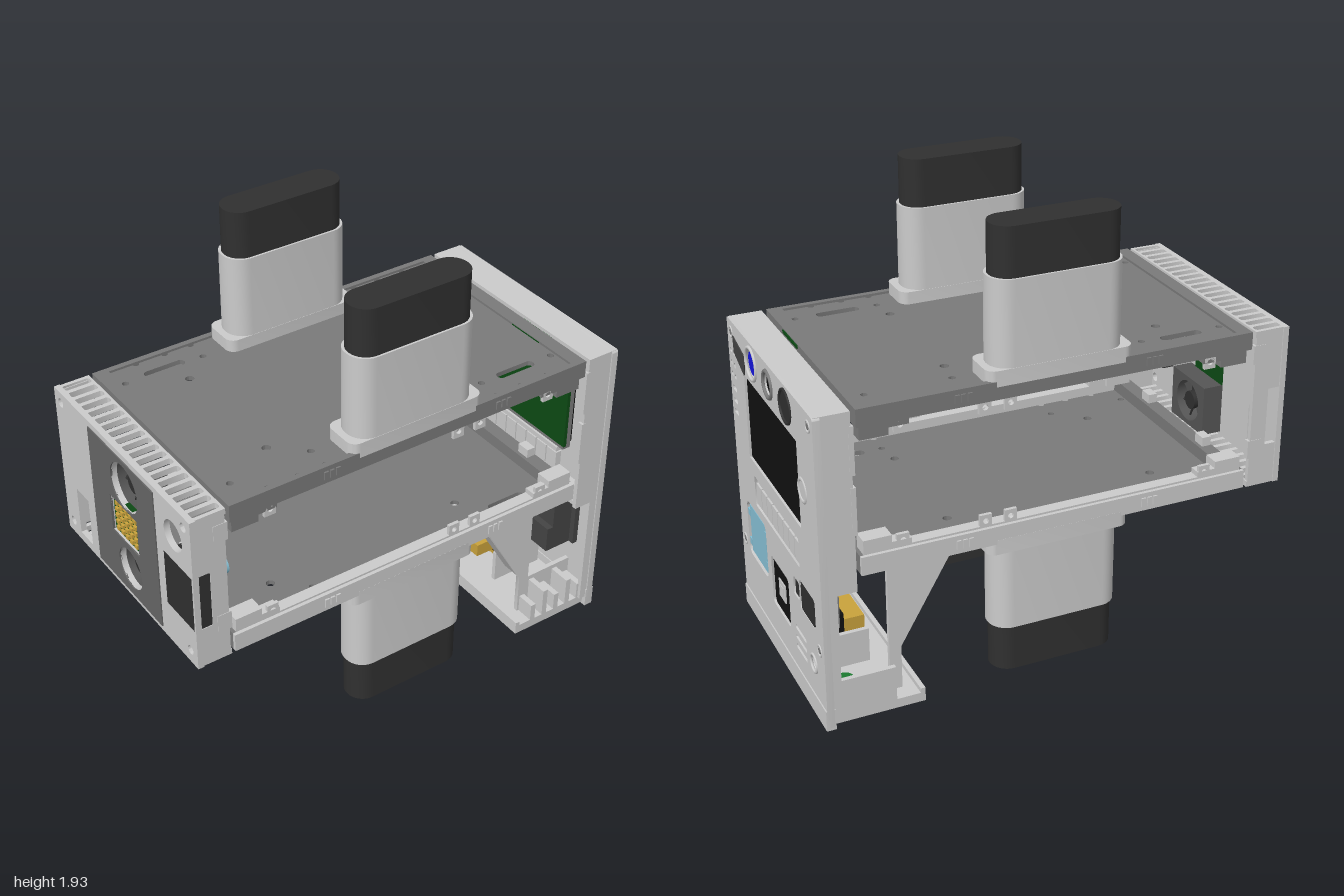
import * as THREE from 'three';
import { toCreasedNormals } from 'three/addons/utils/BufferGeometryUtils.js';

const GREY = 0xcccccc, MID = 0x7a7a7a, DARK = 0x303030, BLACK = 0x111111;
const GREEN = 0x0c4a14, GOLD = 0xc9a23c, CYAN = 0x86bfd4;
const mats = {};
const mat = (c) => (mats[c] ??= new THREE.MeshStandardMaterial({ color: c }));

// rounded rectangle outline, as points
function rr(cx, cy, w, h, r = 0) {
  if (!r) return [[-1, -1], [1, -1], [1, 1], [-1, 1]].map(([a, b]) => new THREE.Vector2(cx + a * w / 2, cy + b * h / 2));
  const pts = [], n = 8;
  [[1, 1], [-1, 1], [-1, -1], [1, -1]].forEach(([a, b], q) => {
    for (let i = 0; i <= n; i++) {
      const t = (q + i / n) * Math.PI / 2;
      pts.push(new THREE.Vector2(cx + a * (w / 2 - r) + r * Math.cos(t), cy + b * (h / 2 - r) + r * Math.sin(t)));
    }
  });
  return pts.filter((p, i) => p.distanceTo(pts[(i + 1) % pts.length]) > 1e-5);
}
const disc = (x, y, r) => rr(x, y, 2 * r, 2 * r, r);

function extrude(outline, holes, depth) {
  const s = new THREE.Shape(outline);
  s.holes = holes.map((h) => new THREE.Path(h));
  return toCreasedNormals(new THREE.ExtrudeGeometry(s, { depth, bevelEnabled: false }), 0.6);
}

export function createModel() {
  const root = new THREE.Group();
  const add = (name, geo, color = GREY) => {
    const m = new THREE.Mesh(geo, mat(color));
    m.name = name;
    root.add(m);
    return m;
  };
  const box = (name, x0, x1, y0, y1, z0, z1, color) =>
    add(name, new THREE.BoxGeometry(x1 - x0, y1 - y0, z1 - z0).translate((x0 + x1) / 2, (y0 + y1) / 2, (z0 + z1) / 2), color);
  // upright sheet across x, drawn in (-z, y); level sheet drawn in (x, -z)
  const wall = (name, outline, holes, x0, x1, color) =>
    add(name, extrude(outline, holes, x1 - x0).rotateY(Math.PI / 2).translate(x0, 0, 0), color);
  const level = (name, outline, holes, y0, y1, color) =>
    add(name, extrude(outline, holes, y1 - y0).rotateX(-Math.PI / 2).translate(0, y0, 0), color);
  const rod = (name, x0, x1, y, z, r, color) =>
    add(name, new THREE.CylinderGeometry(r, r, x1 - x0, 32).rotateZ(Math.PI / 2).translate((x0 + x1) / 2, y, z), color);
  const ring = (name, x, y, z, r, t, color) =>
    add(name, new THREE.TorusGeometry(r, t, 8, 32).rotateY(Math.PI / 2).translate(x, y, z), color);

  // four legs with dark rounded tips
  for (const z of [0.428, -0.428]) for (const up of [1, -1]) {
    const put = (name, w, d, r, a, b, color) => {
      const [y0, y1] = up > 0 ? [1.34 + a, 1.34 + b] : [0.65 - b, 0.65 - a];
      level(name, rr(0.005, -z, w, d, r), [], y0, y1, color);
    };
    put('legFlange', 0.61, 0.175, 0.04, -0.02, 0.045);
    put('leg', 0.55, 0.172, 0.08, 0.0, 0.395);
    put('legTip', 0.53, 0.155, 0.075, 0.39, 0.595, DARK);
  }

  // upper and lower deck plates
  const holes = [];
  for (const a of [-1, 1]) for (const b of [-1, 1]) {
    for (const [x, z] of [[0.75, 0.39], [0.4, 0.39], [0.65, 0.49], [0.52, 0.49], [0.4, 0.49]]) holes.push(disc(a * x, b * z, 0.014));
    holes.push(disc(a * 0.455 - 0.07, b * 0.28, 0.018));
  }
  holes.push(rr(-0.57, 0.4, 0.18, 0.04, 0.018), rr(0.57, -0.39, 0.18, 0.04, 0.018));
  level('upperPlate', rr(0, 0, 1.62, 1.02), holes, 1.312, 1.332, MID);
  level('lowerPlate', rr(0, 0, 1.62, 1.02), holes, 0.655, 0.675, MID);
  box('undersideBoard', -0.46, 0.12, 1.295, 1.31, -0.22, 0.33, GREEN);

  // frame rails, corner blocks and tabs round each deck
  for (const [y0, y1, dir, color] of [[1.268, 1.342, -1, MID], [0.652, 0.73, 1, GREY]]) {
    const inner = dir < 0 ? y0 : y1;
    const span = (a) => [Math.min(inner, inner + dir * a), Math.max(inner, inner + dir * a)];
    for (const s of [-1, 1]) {
      const zr = (a, b) => (s > 0 ? [a, b] : [-b, -a]);
      box('sideRail', -0.83, 0.83, y0, y1, ...zr(0.49, 0.515), color);
      box('railLip', -0.78, 0.78, inner - 0.008, inner + 0.008, ...zr(0.45, 0.5), color);
      box('endRail', ...(s > 0 ? [0.77, 0.83] : [-0.83, -0.77]), y0, y1, -0.5, 0.5, MID);
      for (const x of [-0.39, 0.41]) {
        for (let i = -1; i <= 1; i++) box('railClip', x + i * 0.026 - 0.009, x + i * 0.026 + 0.009, y0 + 0.02, y1 - 0.02, ...zr(0.5, 0.522), color);
      }
      for (const a of [-1, 1]) {
        const xr = (p, q) => (a > 0 ? [p, q] : [-q, -p]);
        box('cornerBlock', ...xr(0.7, 0.815), ...span(0.06), ...zr(0.43, 0.5), color);
        box('cornerFoot', ...xr(0.62, 0.7), ...span(0.03), ...zr(0.45, 0.5), color);
        box('cornerPost', ...xr(0.785, 0.825), ...span(0.04), ...zr(0.2, 0.26), color);
      }
      const [t0, t1] = span(0.055);
      for (const x of [-0.65, 0.21, 0.315, 0.655]) {
        const g = extrude(rr(x, (t0 + t1) / 2, 0.05, 0.055), [disc(x, (t0 + t1) / 2, 0.012)], 0.015);
        add('mountTab', g.translate(0, 0, s > 0 ? 0.485 : -0.5));
      }
    }
  }
  box('hangingBoard', 0.62, 0.7, 1.2, 1.33, 0.2, 0.215, GREEN);
  box('edgeBoard', 0.77, 0.835, 1.325, 1.338, 0.12, 0.295, GREEN);

  // control panel face; u = -z
  const cut = [rr(0, 0.98, 0.64, 0.365), rr(0, 0.665, 0.55, 0.135, 0.01), rr(-0.29, 0.43, 0.255, 0.25, 0.035),
    rr(0, 0.34, 0.22, 0.22, 0.02), rr(0.345, 0.475, 0.18, 0.13, 0.02), rr(0.215, 0.475, 0.07, 0.08, 0.015),
    disc(-0.21, 1.255, 0.062), disc(0, 1.255, 0.045), disc(0.21, 1.255, 0.06), disc(0.39, 0.235, 0.037)];
  for (const y of [0.19, 0.235, 0.28]) cut.push(rr(0.24, y, 0.13, 0.018, 0.008));
  for (const u of [-0.488, -0.447]) for (const y of [1.1, 1.15, 1.205]) cut.push(disc(u, y, 0.011));
  for (const y of [0.935, 0.985, 1.04]) cut.push(rr(-0.467, y, 0.05, 0.02, 0.009));
  wall('controlPanel', rr(0, 0.67, 1.04, 1.34, 0.012), cut, 0.965, 0.995);
  box('panelTop', 0.85, 0.99, 1.315, 1.34, -0.515, 0.515);
  for (const z of [-0.515, 0.495]) {
    box('panelSide', 0.85, 0.98, 0.59, 1.33, z, z + 0.02);
    box('panelSideLower', 0.93, 0.98, 0.05, 0.6, z, z + 0.02);
    for (const y of [0.83, 1.08]) box('sideRib', 0.84, 0.86, y, y + 0.2, z - 0.002, z + 0.022);
  }
  box('panelSill', 0.86, 0.97, 0.59, 0.61, -0.5, 0.5);
  box('panelFoot', 0.96, 1.0, 0.0, 0.09, -0.52, 0.52);
  for (const z of [0.47, -0.47]) for (const y of [0.34, 1.29]) {
    ring('screwRing', 0.995, y, z, 0.022, 0.004);
    rod('screw', 0.98, 0.998, y, z, 0.012, MID);
  }

  // screen, dials and lamps
  box('screen', 0.95, 0.985, 0.79, 1.17, -0.33, 0.33, BLACK);
  box('screenCarrier', 0.91, 0.95, 0.77, 1.18, -0.34, 0.34, MID);
  box('panelBoard', 0.895, 0.91, 0.8, 1.28, -0.42, 0.36, GREEN);
  ring('blueDialRing', 0.995, 1.255, 0.21, 0.066, 0.008);
  rod('blueDial', 0.93, 0.99, 1.255, 0.21, 0.05, 0x1414dd);
  ring('lensRing', 0.995, 1.255, 0, 0.053, 0.009, MID);
  rod('lens', 0.93, 0.985, 1.255, 0, 0.047, BLACK);
  ring('knobRing', 0.995, 1.255, -0.21, 0.065, 0.007, DARK);
  rod('knob', 0.93, 0.995, 1.255, -0.21, 0.061, DARK);
  ring('sideLatch', 0.99, 0.98, -0.365, 0.045, 0.01);
  box('lampBacking', 0.95, 0.964, 0.9, 1.23, 0.42, 0.5, DARK);
  wall('darkPointer', [[-0.44, 1.285], [-0.435, 1.215], [-0.31, 1.165], [-0.28, 1.25]].map((p) => new THREE.Vector2(...p)), [], 0.98, 0.999, 0x444444);

  // key row
  for (let i = 0; i < 8; i++) {
    const z = -0.24 + i * 0.0686;
    box('key', 0.94, 0.99, 0.605, 0.7, z - 0.031, z + 0.031);
  }
  box('keyBar', 0.94, 0.985, 0.706, 0.728, -0.27, 0.27);

  // card slot, chip window and socket
  box('cardBay', 0.94, 0.97, 0.3, 0.56, 0.155, 0.425, 0x444444);
  box('card', 0.96, 0.99, 0.32, 0.54, 0.185, 0.395, CYAN);
  for (const z of [0.178, 0.402]) for (const y of [0.36, 0.5]) box('cardClip', 0.965, 0.992, y - 0.015, y + 0.015, z - 0.015, z + 0.015, CYAN);
  box('chipWindow', 0.88, 0.985, 0.23, 0.45, -0.11, 0.11, BLACK);
  box('chip', 0.97, 0.99, 0.3, 0.38, -0.04, 0.04);
  box('chipCore', 0.98, 0.992, 0.32, 0.36, -0.02, 0.02, 0xe8e8e8);
  box('socketBay', 0.9, 0.968, 0.4, 0.55, -0.44, -0.17, MID);
  box('socket', 0.94, 0.995, 0.415, 0.535, -0.42, -0.275, DARK);
  box('socketTab', 0.94, 0.99, 0.44, 0.51, -0.27, -0.19, DARK);
  box('rearModule', 0.81, 0.97, 0.3, 0.42, 0.18, 0.4, 0x444444);
  box('rearModuleUpper', 0.84, 0.965, 0.42, 0.56, 0.2, 0.4, 0x444444);
  ring('jackRing', 0.995, 0.235, -0.39, 0.037, 0.006);

  // base tray with ribs, connector and underside buttons
  box('trayFloor', 0.58, 0.98, 0.01, 0.05, -0.5, 0.5);
  box('trayLip', 0.58, 0.6, 0.01, 0.07, -0.5, 0.5);
  for (let i = 0; i < 5; i++) box('trayRib', 0.66 + i * 0.065, 0.685 + i * 0.065, 0.04, 0.13 + (i % 2) * 0.05, 0.4, 0.5);
  for (const z of [-0.5, -0.2, 0.18, 0.38]) box('trayWall', 0.7, 0.95, 0.04, 0.2, z, z + 0.02);
  box('goldConnector', 0.675, 0.945, 0.13, 0.19, -0.08, 0.1, GOLD);
  box('connectorCore', 0.77, 0.88, 0.12, 0.23, -0.1, 0.12, BLACK);
  box('goldPort', 0.81, 0.88, 0.003, 0.13, -0.03, 0.05, GOLD);
  for (const [z, color] of [[-0.43, 0xc01818], [-0.29, 0x1c7a30], [0.02, GOLD], [0.33, BLACK]]) {
    add('bottomButton', new THREE.CylinderGeometry(0.034, 0.034, 0.06, 24).translate(0.84, 0.032, z), color);
    add('bottomButtonRing', new THREE.TorusGeometry(0.043, 0.009, 8, 24).rotateX(Math.PI / 2).translate(0.84, 0.01, z));
  }
  // slanted braces from tray to deck
  const brace = [[0.44, 0.65], [0.44, 0.6], [0.65, 0.24], [0.65, 0.05], [0.7, 0.05], [0.7, 0.65]].map((p) => new THREE.Vector2(...p));
  for (const z of [-0.43, 0.4]) {
    add('brace', extrude(brace, [], 0.02).translate(0, 0, z));
    const inset = z > 0 ? -0.08 : 0.02;
    add('braceFlange', extrude([[0.44, 0.6], [0.65, 0.24], [0.665, 0.25], [0.455, 0.61]].map((p) => new THREE.Vector2(...p)), [], 0.08).translate(0, 0, z + inset));
  }

  // fan panel: outer wall, slotted top and bottom, end walls
  const corner = [];
  for (const u of [-0.47, 0.47]) for (const y of [0.71, 1.29]) corner.push(disc(u, y, 0.02));
  wall('fanPanel', rr(0, 0.995, 1.04, 0.69), [disc(-0.03, 1.19, 0.105), disc(-0.03, 0.8, 0.09), disc(-0.39, 1.2, 0.065),
    rr(-0.01, 1.0, 0.21, 0.17), rr(-0.41, 0.955, 0.2, 0.25), rr(0.36, 0.8, 0.1, 0.22), ...corner], -0.995, -0.97);
  wall('fanFacing', rr(-0.01, 0.995, 0.5, 0.64), [disc(-0.03, 1.19, 0.105), disc(-0.03, 0.8, 0.09), rr(-0.01, 1.0, 0.21, 0.17)], -1.0, -0.99, 0x666666);
  const slots = [];
  for (let i = -9; i <= 9; i++) slots.push(rr(-0.915, i * 0.0535, 0.12, 0.034, 0.012));
  level('ventTop', rr(-0.92, 0, 0.15, 1.03), slots, 1.315, 1.34);
  level('ventBottom', rr(-0.92, 0, 0.15, 1.03), slots, 0.65, 0.675);
  for (const z of [-0.515, 0.495]) {
    box('fanPanelEnd', -0.92, -0.85, 0.66, 1.33, z, z + 0.02);
    for (const [a, b] of [[0.66, 0.83], [1.08, 1.33]]) box('fanPanelEndOuter', -0.985, -0.92, a, b, z, z + 0.02);
    for (const y of [0.78, 1.2]) box('endRib', -0.9, -0.84, y, y + 0.08, z - 0.002, z + 0.022);
  }
  box('powerModule', -0.995, -0.915, 0.83, 1.08, 0.31, 0.512, DARK);
  box('moduleMount', -0.915, -0.85, 0.86, 1.06, 0.28, 0.47);
  rod('cyanPlug', -0.86, -0.78, 0.96, 0.37, 0.04, CYAN);
  // fans and their frames
  for (const [y, z, r] of [[1.19, 0.03, 0.105], [0.8, 0.03, 0.09]]) {
    wall('fanFrame', rr(-z, y, 0.26, 0.22), [disc(-z, y, r)], -0.97, -0.88, 0x555555);
    rod('fanHub', -0.96, -0.89, y, z, 0.04, DARK);
    for (let k = 0; k < 7; k++) {
      const g = new THREE.BoxGeometry(0.008, r - 0.005, 0.045).rotateY(0.7).translate(0, r / 2, 0);
      add('fanBlade', g.rotateX(k * Math.PI * 2 / 7).translate(-0.925, y, z), DARK);
    }
  }
  box('pinBoard', -0.985, -0.965, 0.91, 1.09, -0.1, 0.12, GREEN);
  for (let i = 0; i < 5; i++) for (let j = 0; j < 5; j++) {
    const y = 0.94 + i * 0.03, z = -0.06 + j * 0.035;
    box('pin', -0.995, -0.98, y - 0.009, y + 0.009, z - 0.01, z + 0.01, GOLD);
  }
  return root;
}
